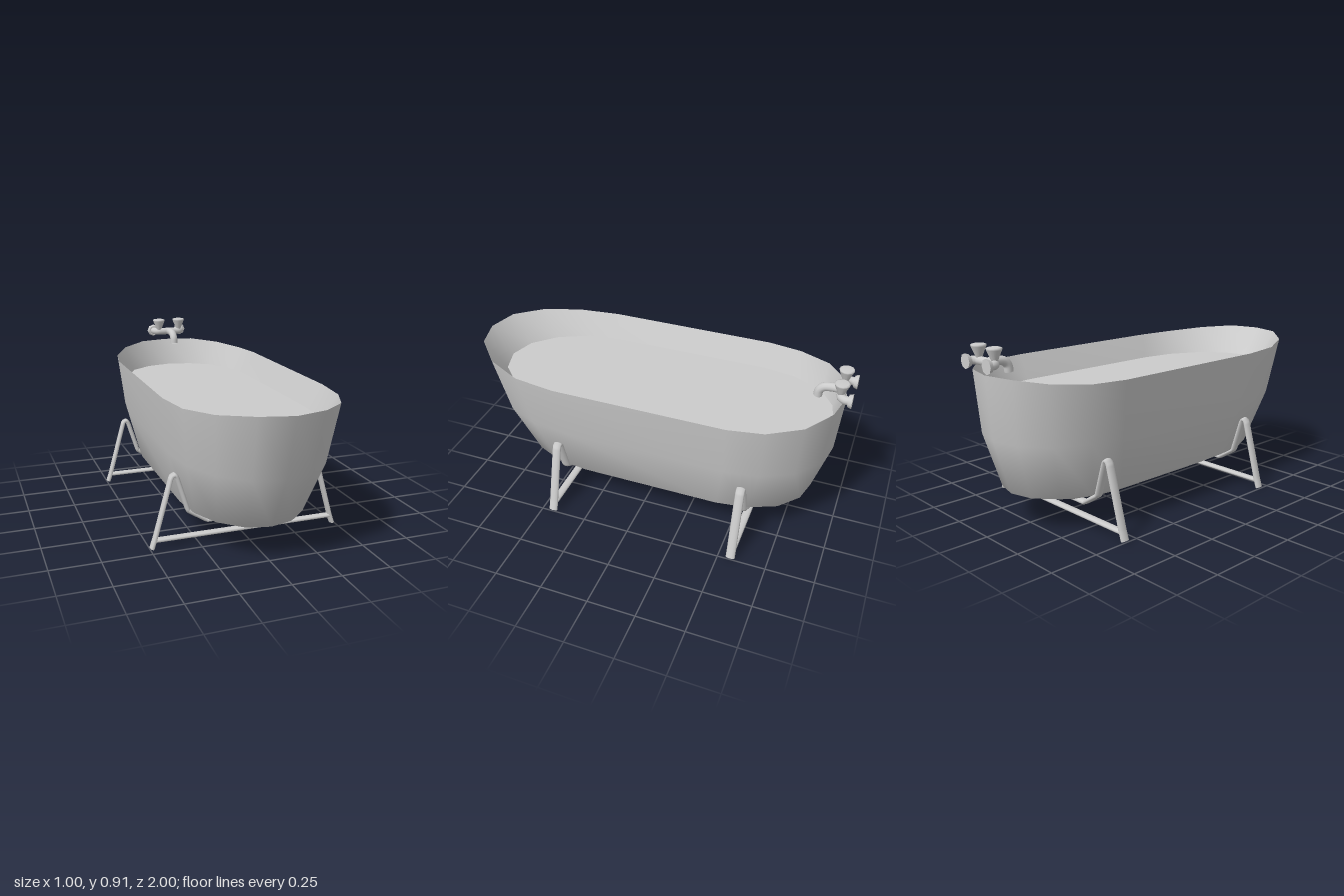
import * as THREE from 'three';

const material = new THREE.MeshStandardMaterial({ color: 0xcccccc, side: THREE.DoubleSide });
const V = (x, y, z) => new THREE.Vector3(x, y, z);

function part(parent, name, geometry) {
  const mesh = new THREE.Mesh(geometry, material);
  mesh.name = name;
  parent.add(mesh);
  return mesh;
}

// Closed outline from its +x half, listed front to back
function mirrorRing(half) {
  const back = half.slice(1, -1).reverse().map(p => V(-p.x, p.y, p.z));
  return [...half, ...back];
}

// Smooth skin through rings of equal point count
function loft(rings) {
  const n = rings[0].length, index = [];
  for (let i = 0; i < rings.length - 1; i++) {
    for (let j = 0; j < n; j++) {
      const k = (j + 1) % n;
      const a = i * n + j, b = i * n + k, c = a + n, d = b + n;
      index.push(a, c, d, a, d, b);
    }
  }
  const g = new THREE.BufferGeometry().setFromPoints(rings.flat());
  g.setIndex(index);
  g.computeVertexNormals();
  return g;
}

// Tube along straight segments
function polyTube(points, radius, steps) {
  const path = new THREE.CurvePath();
  for (let i = 1; i < points.length; i++) path.add(new THREE.LineCurve3(points[i - 1], points[i]));
  return new THREE.TubeGeometry(path, steps, radius, 10);
}

function buildTub() {
  const tub = new THREE.Group();
  tub.name = 'tub';
  const rim = mirrorRing([
    V(0, 0.775, 1), V(0.16, 0.775, 0.957), V(0.3, 0.762, 0.827), V(0.386, 0.75, 0.64), V(0.416, 0.748, 0.42),
    V(0.416, 0.748, -0.48), V(0.386, 0.75, -0.66), V(0.3, 0.762, -0.825), V(0.16, 0.775, -0.93), V(0, 0.775, -0.965),
  ]);
  // Outer wall levels: height, half width, front end, back end
  const levels = [
    [0.46, 0.38, 0.915, 0.94],
    [0.18, 0.31, 0.765, 0.855],
    [0.122, 0.21, 0.54, 0.69],
    [0.122, 0, 0, 0],
  ];
  const rings = levels.map(([y, w, front, back]) =>
    rim.map(p => V(p.x * w / 0.416, y, p.z * (p.z > 0 ? front : back / 0.965))));
  part(tub, 'outerWall', loft([rim, ...rings]));

  // Inner wall and water surface
  const waterLine = mirrorRing([
    [0, 0.885], [0.135, 0.845], [0.25, 0.73], [0.33, 0.565], [0.356, 0.38],
    [0.356, -0.48], [0.33, -0.65], [0.25, -0.81], [0.135, -0.89], [0, -0.92],
  ].map(([x, z]) => V(x, 0.62, z)));
  part(tub, 'innerWall', loft([waterLine, rim]));
  const surface = new THREE.Shape(waterLine.map(p => new THREE.Vector2(p.x, -p.z)));
  part(tub, 'water', new THREE.ShapeGeometry(surface).rotateX(-Math.PI / 2)).position.y = 0.62;
  return tub;
}

// Bent frame that cradles the tub, wider in z than in the bending plane
function buildFrame(z) {
  const frame = new THREE.Group();
  frame.name = 'legFrame';
  const half = [
    V(0.49, 0.003, 0), V(0.474, 0.05, 0), V(0.388, 0.355, 0), V(0.379, 0.37, 0), V(0.367, 0.37, 0),
    V(0.358, 0.355, 0), V(0.304, 0.178, 0), V(0.208, 0.116, 0),
  ];
  const points = [...half, ...half.map(p => V(-p.x, p.y, 0)).reverse()];
  part(frame, 'cradle', polyTube(points, 0.012, 160));
  part(frame, 'crossBar', polyTube([V(-0.475, 0.043, 0), V(0.475, 0.043, 0)], 0.011, 1));
  frame.scale.z = 2;
  frame.position.z = z;
  return frame;
}

function buildFaucet() {
  const faucet = new THREE.Group();
  faucet.name = 'faucet';
  // Cross pipe, with both ends turning back to the flanges
  const pipe = new THREE.CatmullRomCurve3([
    V(-0.087, 0, -0.99), V(-0.086, 0, -0.965), V(-0.07, 0, -0.944), V(-0.04, 0, -0.94),
    V(0.04, 0, -0.94), V(0.07, 0, -0.944), V(0.086, 0, -0.965), V(0.087, 0, -0.99),
  ]);
  part(faucet, 'crossPipe', new THREE.TubeGeometry(pipe, 40, 0.021, 12));

  // Spout
  const spout = new THREE.CatmullRomCurve3([
    V(0, 0, -0.94), V(0, 0, -0.88), V(0, -0.007, -0.85), V(0, -0.028, -0.83), V(0, -0.06, -0.825),
  ]);
  part(faucet, 'spout', new THREE.TubeGeometry(spout, 20, 0.022, 12));
  const tip = part(faucet, 'spoutTip', new THREE.CircleGeometry(0.022, 12).rotateX(Math.PI / 2));
  tip.position.set(0, -0.059, -0.825);

  const handle = [[0.014, 0.005], [0.017, 0.02], [0.036, 0.066], [0.037, 0.074], [0.03, 0.077], [0, 0.077]]
    .map(([r, y]) => new THREE.Vector2(r, y));
  for (const side of [-1, 1]) {
    part(faucet, 'handle', new THREE.LatheGeometry(handle, 14)).position.set(side * 0.064, 0, -0.94);
    const flange = new THREE.CylinderGeometry(0.03, 0.037, 0.02, 8).rotateX(Math.PI / 2);
    part(faucet, 'flange', flange).position.set(side * 0.087, 0, -0.99);
  }
  faucet.position.set(0.015, 0.83, 0);
  return faucet;
}

export function createModel() {
  const model = new THREE.Group();
  model.name = 'bathtub';
  model.add(buildTub(), buildFrame(0.44), buildFrame(-0.565), buildFaucet());
  return model;
}
